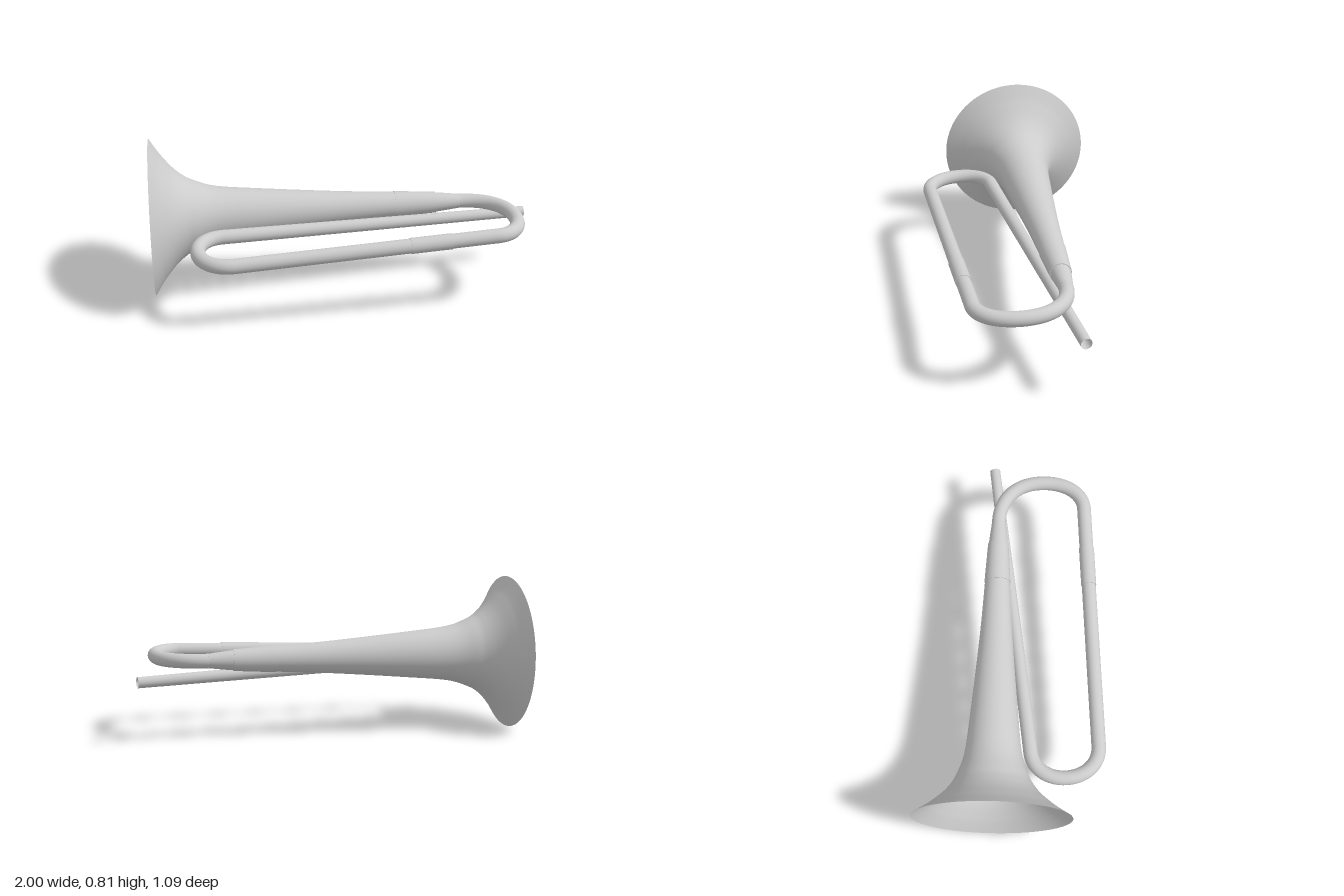
import * as THREE from 'three';

const V = (x, y, z) => new THREE.Vector3(x, y, z);
const UP = V(0, 1, 0);

export function createModel() {
  const group = new THREE.Group();
  group.name = 'bugle';
  const material = new THREE.MeshStandardMaterial({ color: 0xcccccc, side: THREE.DoubleSide });

  const add = (name, geometry) => {
    const mesh = new THREE.Mesh(geometry, material);
    mesh.name = name;
    group.add(mesh);
    return mesh;
  };

  // Straight round piece between two points, radius r0 at a and r1 at b
  const pipe = (name, a, b, r0, r1, open = true) => {
    const mesh = add(name, new THREE.CylinderGeometry(r1, r0, a.distanceTo(b), 40, 1, open));
    mesh.position.lerpVectors(a, b, 0.5);
    mesh.quaternion.setFromUnitVectors(UP, b.clone().sub(a).normalize());
  };

  // Flared bell and its long conical throat, turned about a slightly slanted axis
  const rim = V(-0.957, 0.403, -0.145);
  const tail = V(0.64, 0.405, 0.036);
  const axis = tail.clone().sub(rim).normalize();
  const length = rim.distanceTo(tail);
  const profile = new THREE.SplineCurve([
    [0.403, 0], [0.346, 0.037], [0.312, 0.062], [0.255, 0.11], [0.212, 0.16], [0.182, 0.215],
    [0.145, 0.33], [0.12, 0.56], [0.085, 0.96], [0.066, 1.26], [0.053, 1.46], [0.037, length],
  ].map(([r, t]) => new THREE.Vector2(r, t)));
  const bell = add('bell', new THREE.LatheGeometry(profile.getPoints(88), 96));
  bell.position.copy(rim);
  bell.quaternion.setFromUnitVectors(UP, axis);

  // Sleeve where the throat joins the tubing
  const along = (t) => rim.clone().addScaledVector(axis, t);
  pipe('throatFerrule', along(1.26), along(1.48), 0.069, 0.055, false);

  // Folded tubing: front bow, lower run and rear bow
  const R = 0.037;
  const runStart = V(0.68, 0.405, 0.503);
  const runEnd = V(-0.63, 0.357, 0.43);
  const pipeStart = V(-0.63, 0.355, 0.082);
  const bow = (...p) => new THREE.CubicBezierCurve3(...p);
  const path = new THREE.CurvePath();
  path.add(bow(tail, V(0.76, 0.405, 0.05), V(0.855, 0.405, 0.13), V(0.855, 0.405, 0.27)));
  path.add(bow(V(0.855, 0.405, 0.27), V(0.855, 0.405, 0.4), V(0.785, 0.406, 0.508), runStart));
  path.add(new THREE.LineCurve3(runStart, runEnd));
  path.add(bow(runEnd, V(-0.72, 0.355, 0.425), V(-0.778, 0.355, 0.35), V(-0.778, 0.355, 0.255)));
  path.add(bow(V(-0.778, 0.355, 0.255), V(-0.778, 0.355, 0.16), V(-0.72, 0.357, 0.084), pipeStart));
  add('foldedTubing', new THREE.TubeGeometry(path, 240, R, 40, false));

  // Sleeve on the lower run
  const onRun = (x) => runStart.clone().lerp(runEnd, (runStart.x - x) / (runStart.x - runEnd.x));
  pipe('runFerrule', onRun(0.24), onRun(0.45), 0.04, 0.04, false);

  // Tapered, open-ended mouth pipe
  pipe('mouthPipe', pipeStart, V(1, 0.312, 0.048), R, 0.028);

  return group;
}
